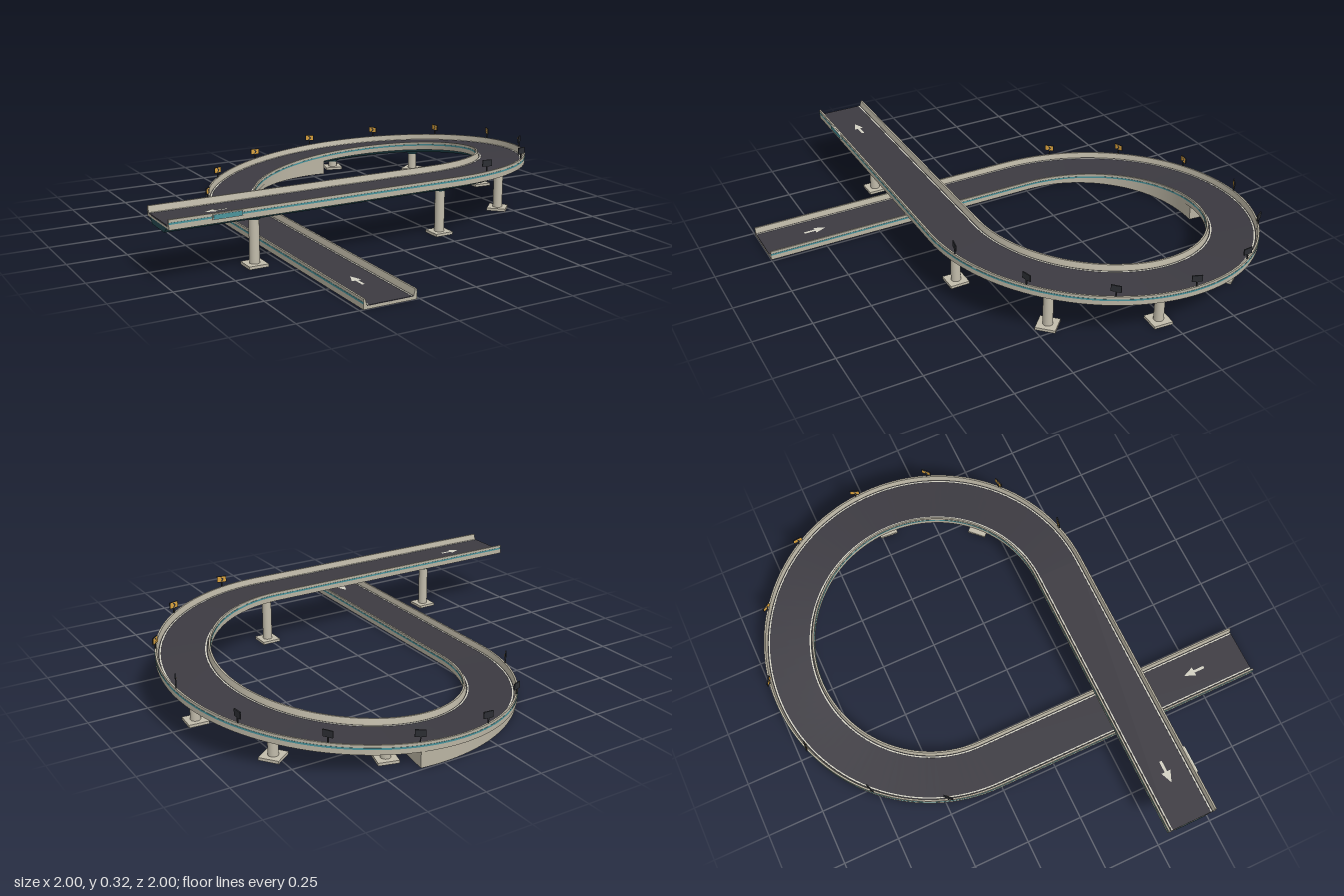
import * as THREE from 'three';

const mat = (name, hex, side = THREE.FrontSide) => {
  const m = new THREE.MeshStandardMaterial({ color: hex, side });
  m.name = name;
  return m;
};

// Road centreline: straight, 270 degree right-hand loop, straight over the first part
const CX = 0.2575, CZ = -0.2575, R = 0.63, HALF = 0.1115;
const STRAIGHT = 1.2575, ARC = 1.5 * Math.PI * R, TOTAL = 2 * STRAIGHT + ARC;
const LOW = 0.015, HIGH = 0.246;
const atAngle = (deg) => STRAIGHT + (deg * Math.PI / 180) * R;

// Position, outward direction, deck height and heading at distance s
function frame(s) {
  const d = s - STRAIGHT;
  const a = THREE.MathUtils.clamp(d / R, 0, 1.5 * Math.PI);
  const ox = -Math.cos(a), oz = -Math.sin(a);
  let x = CX + R * ox, z = CZ + R * oz;
  if (d < 0) z -= d;
  if (d > ARC) x -= d - ARC;
  const h = LOW + (HIGH - LOW) * THREE.MathUtils.smoothstep(d, 0, ARC);
  return { x, z, ox, oz, h, a };
}

// Sweep a counter-clockwise section (u outward, v up) along the road; sharp across, smooth along
function sweep(section, s0 = 0, s1 = TOTAL) {
  const stops = [s0];
  for (let i = 0; i <= 96; i++) {
    const s = STRAIGHT + ARC * i / 96;
    if (s > s0 + 1e-4 && s < s1 - 1e-4) stops.push(s);
  }
  stops.push(s1);
  const rings = stops.map((s) => {
    const f = frame(s);
    return section(f.h).map(([u, v]) => [f.x + f.ox * u, v, f.z + f.oz * u]);
  });
  const pos = [], idx = [], n = rings[0].length;
  for (let e = 0; e < n; e++) {
    const base = pos.length / 3;
    rings.forEach((r) => pos.push(...r[e], ...r[(e + 1) % n]));
    for (let i = 0; i < rings.length - 1; i++) {
      const a = base + 2 * i;
      idx.push(a, a + 1, a + 3, a, a + 3, a + 2);
    }
  }
  // End caps
  [s0, s1].forEach((s, end) => {
    const base = pos.length / 3;
    const flat = section(frame(s).h).map(([u, v]) => new THREE.Vector2(u, v));
    rings[end ? rings.length - 1 : 0].forEach((p) => pos.push(...p));
    THREE.ShapeUtils.triangulateShape(flat, []).forEach(([a, b, c]) => {
      if (end) idx.push(base + a, base + b, base + c);
      else idx.push(base + a, base + c, base + b);
    });
  });
  const g = new THREE.BufferGeometry();
  g.setAttribute('position', new THREE.Float32BufferAttribute(pos, 3));
  g.setIndex(idx);
  g.computeVertexNormals();
  return g;
}

// Rectangle section measured from the deck surface
const strip = (u0, u1, v0, v1) => (h) => [[u0, h + v0], [u1, h + v0], [u1, h + v1], [u0, h + v1]];

export function createModel() {
  const model = new THREE.Group();
  model.name = 'loopRamp';
  const concrete = mat('concrete', 0xb9b3a2);
  const asphalt = mat('asphalt', 0x3c3a41);
  const paint = mat('road paint', 0xd2d0c2, THREE.DoubleSide);
  const teal = mat('teal trim', 0x4a939b);
  const girderTeal = mat('dark teal girder', 0x23484f);
  const pier = mat('pier concrete', 0xc2bcab);
  const dark = mat('dark metal', 0x2c2e33);
  const amber = mat('amber sign', 0xdba23c, THREE.DoubleSide);

  const add = (name, geo, material, parent = model) => {
    const m = new THREE.Mesh(geo, material);
    m.name = name;
    parent.add(m);
    return m;
  };

  // Deck slab with side barriers
  add('deckAndBarriers', sweep((h) => [
    [-HALF, -0.015], [HALF, -0.015], [HALF, 0.025], [0.104, 0.025], [0.099, 0.006], [0.097, -0.003],
    [-0.097, -0.003], [-0.099, 0.006], [-0.104, 0.025], [-HALF, 0.025],
  ].map(([u, v]) => [u, h + v])), concrete);
  add('roadSurface', sweep(strip(-0.0985, 0.0985, -0.006, 0)), asphalt);

  // Edge lines and coloured bands on both sides
  for (const side of [-1, 1]) {
    const l = side * 0.0915, b = side * HALF;
    add('edgeLine', sweep(strip(l - 0.0027, l + 0.0027, -0.001, 0.001)), paint);
    add('trimBand', sweep(strip(b - 0.001, b + 0.001, 0.006, 0.0135)), teal);
  }

  // Solid embankment under the low part, girder under the raised part
  add('embankment', sweep((h) => [
    [-0.108, 0], [0.108, 0], [0.108, h - 0.01], [-0.108, h - 0.01],
  ], STRAIGHT, atAngle(97)), concrete);
  add('girder', sweep((h) => [
    [-0.062, h - 0.036], [0.062, h - 0.036], [0.086, h - 0.013], [-0.086, h - 0.013],
  ], atAngle(96), TOTAL), girderTeal);

  // Piers with flared heads and square footings
  for (const s of [105, 143.5, 184, 225, 270].map(atAngle).concat(STRAIGHT + ARC + 0.8675)) {
    const f = frame(s), top = f.h - 0.034;
    const g = new THREE.Group();
    g.name = 'pier';
    g.position.set(f.x, 0, f.z);
    g.rotation.y = -f.a;
    model.add(g);
    add('footing', new THREE.BoxGeometry(0.084, 0.012, 0.084), pier, g).position.y = 0.006;
    add('column', new THREE.CylinderGeometry(0.021, 0.021, top, 20), pier, g).position.y = top / 2;
    add('pierHead', new THREE.CylinderGeometry(0.038, 0.025, 0.02, 20), girderTeal, g).position.y = top - 0.01;
  }

  // Curve marker boards on the outer barrier, turned towards oncoming traffic
  const chevron = new THREE.Shape([
    [-0.008, 0.01], [0, 0.01], [0.009, 0], [0, -0.01], [-0.008, -0.01], [0.001, 0],
  ].map(([x, y]) => new THREE.Vector2(x, y)));
  for (let i = 0; i < 10; i++) {
    const f = frame(atAngle(18 + 26.45 * i));
    const facing = f.a + THREE.MathUtils.degToRad(25);
    const g = new THREE.Group();
    g.name = 'curveMarker';
    g.position.set(f.x + f.ox * 0.108, f.h, f.z + f.oz * 0.108);
    g.rotation.y = Math.PI / 2 - facing;
    model.add(g);
    add('post', new THREE.BoxGeometry(0.005, 0.03, 0.005), dark, g).position.y = 0.037;
    add('board', new THREE.BoxGeometry(0.042, 0.028, 0.005), dark, g).position.y = 0.061;
    add('boardFace', new THREE.PlaneGeometry(0.038, 0.024), amber, g).position.set(0, 0.061, 0.0032);
    add('chevron', new THREE.ShapeGeometry(chevron), dark, g).position.set(0, 0.061, 0.0042);
  }

  // Direction arrows painted on the road
  const arrow = new THREE.Shape([
    [-0.006, -0.05], [0.006, -0.05], [0.006, 0], [0.021, 0], [0, 0.05], [-0.021, 0], [-0.006, 0],
  ].map(([x, y]) => new THREE.Vector2(x, y)));
  const arrowGeo = new THREE.ShapeGeometry(arrow).rotateX(-Math.PI / 2);
  add('entryArrow', arrowGeo, paint).position.set(CX - R, LOW + 0.0015, 0.76);
  const exitArrow = add('exitArrow', arrowGeo, paint);
  exitArrow.position.set(-0.77, HIGH + 0.0015, CZ + R);
  exitArrow.rotation.y = Math.PI / 2;

  // Blank direction panel on the outer barrier near the exit
  const panelZ = CZ + R + HALF;
  add('panelRim', new THREE.BoxGeometry(0.122, 0.022, 0.006), paint).position.set(-0.768, HIGH + 0.012, panelZ + 0.003);
  add('panel', new THREE.BoxGeometry(0.116, 0.017, 0.006), teal).position.set(-0.768, HIGH + 0.012, panelZ + 0.0045);
  return model;
}
